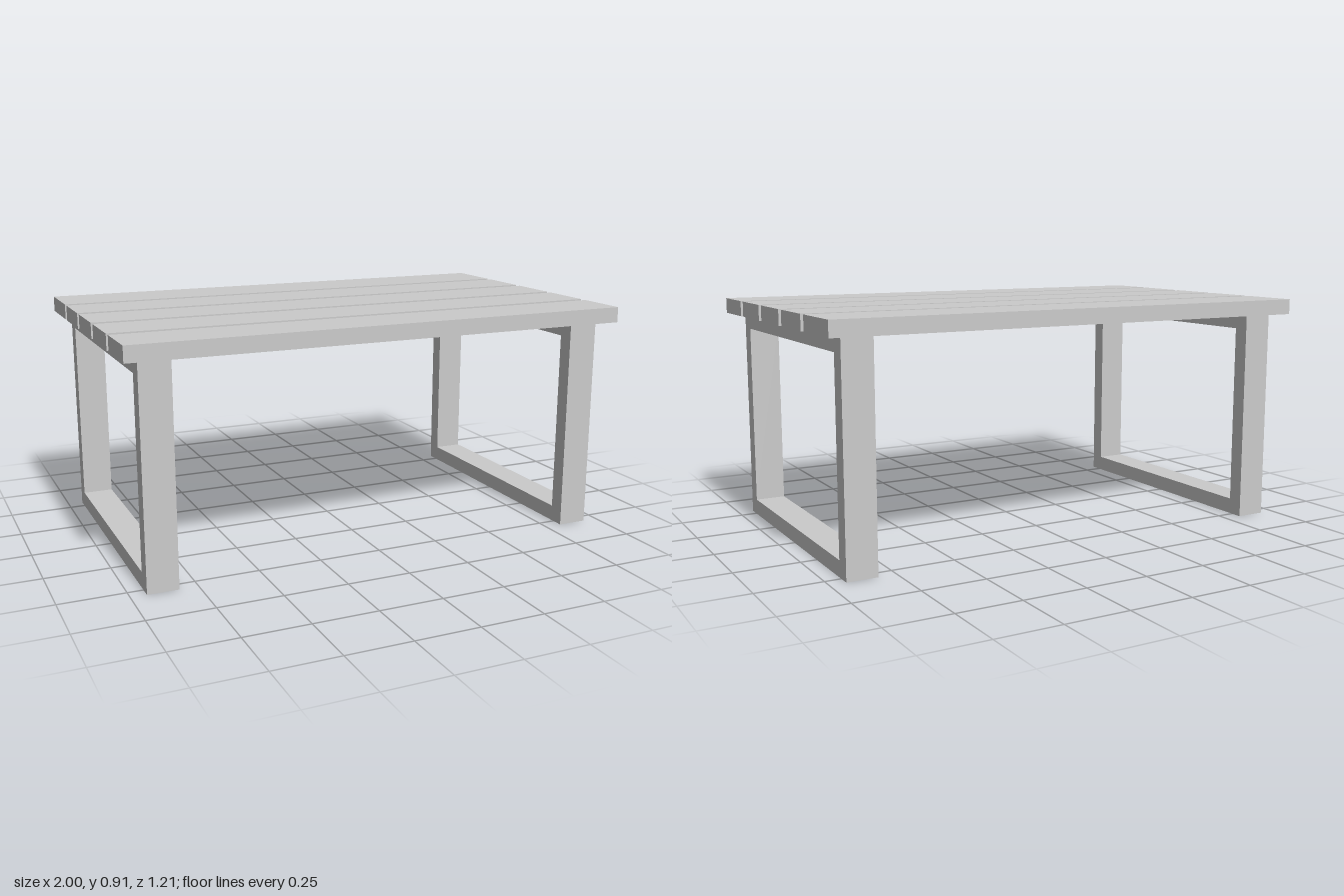
import * as THREE from 'three';

const frameMaterial = new THREE.MeshStandardMaterial({ color: 0xcccccc, flatShading: true });
const slatMaterial = new THREE.MeshStandardMaterial({ color: 0xcccccc, flatShading: true, side: THREE.DoubleSide });

const legHeight = 0.849;

// Rectangular loop leg lying across the table, extruded along x
function createLegFrame(name, centreX) {
  const halfDepth = 0.548, bar = 0.063, width = 0.119;
  const outline = new THREE.Shape([
    new THREE.Vector2(-halfDepth, 0),
    new THREE.Vector2(halfDepth, 0),
    new THREE.Vector2(halfDepth, legHeight),
    new THREE.Vector2(-halfDepth, legHeight),
  ]);
  const inner = halfDepth - bar;
  outline.holes.push(new THREE.Path([
    new THREE.Vector2(-inner, bar),
    new THREE.Vector2(-inner, legHeight - 0.06),
    new THREE.Vector2(inner, legHeight - 0.06),
    new THREE.Vector2(inner, bar),
  ]));
  const geometry = new THREE.ExtrudeGeometry(outline, { depth: width, bevelEnabled: false });
  geometry.translate(0, 0, -width / 2);
  geometry.rotateY(Math.PI / 2);
  const mesh = new THREE.Mesh(geometry, frameMaterial);
  mesh.name = name;
  mesh.position.x = centreX;
  return mesh;
}

// Hollow slat: a box whose underside (indices 18 to 23) is left open
function createSlat(name, thickness, depth) {
  const geometry = new THREE.BoxGeometry(2, thickness, depth);
  geometry.setIndex([...geometry.index.array].filter((_, i) => i < 18 || i > 23));
  geometry.clearGroups();
  const mesh = new THREE.Mesh(geometry, slatMaterial);
  mesh.name = name;
  return mesh;
}

export function createModel() {
  const table = new THREE.Group();
  table.name = 'slattedTable';

  // Top slats, laid from front to back; the rear one is wider
  const top = new THREE.Group();
  top.name = 'tableTop';
  const thickness = 0.061, gap = 0.031;
  let frontEdge = 0.606;
  [0.211, 0.211, 0.211, 0.211, 0.242].forEach((depth, i) => {
    const slat = createSlat(`topSlat${i + 1}`, thickness, depth);
    slat.position.set(0, legHeight + thickness / 2, frontEdge - depth / 2);
    top.add(slat);
    frontEdge -= depth + gap;
  });
  table.add(top);

  // Leg loops at both ends
  table.add(createLegFrame('leftLegFrame', 0.879), createLegFrame('rightLegFrame', -0.881));
  return table;
}
